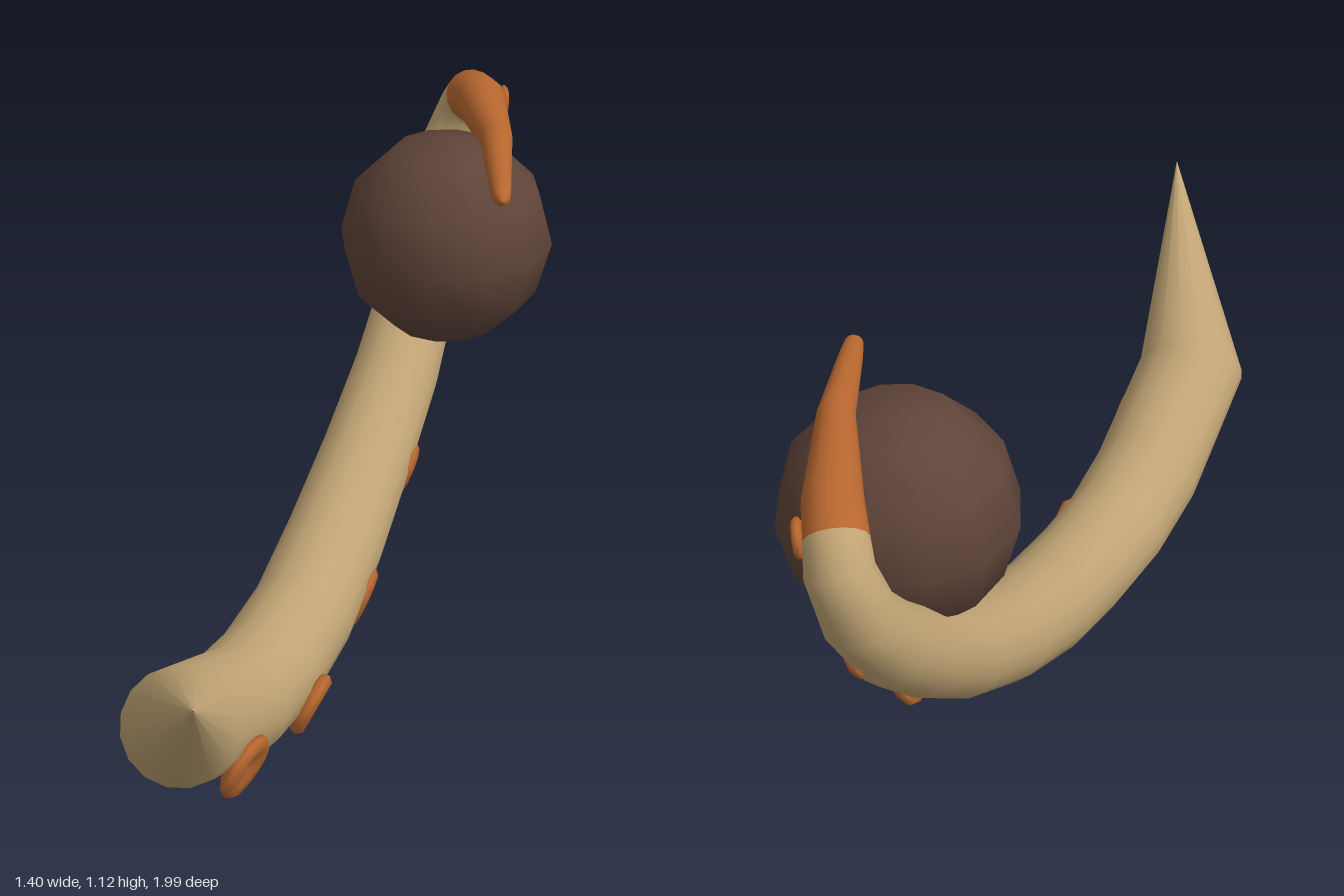
import * as THREE from 'three';

const SIDES = 16;

// Centre line and radius of each ring: [x, y, z, r]
const ARM = [
  [-0.68, 0.64, 0.99, 0.001],
  [-0.59, 0.295, 0.55, 0.132],
  [-0.4, 0.165, 0.315, 0.13],
  [-0.27, 0.137, 0.16, 0.127],
  [-0.135, 0.158, 0.0, 0.124],
  [0.01, 0.225, -0.19, 0.121],
  [0.16, 0.328, -0.385, 0.114],
  [0.3, 0.455, -0.56, 0.108],
  [0.41, 0.595, -0.705, 0.1],
  [0.505, 0.74, -0.835, 0.09],
  [0.58, 0.89, -0.92, 0.079],
  [0.612, 0.995, -0.9, 0.072],
  [0.608, 1.04, -0.86, 0.067],
  [0.595, 1.062, -0.77, 0.063],
  [0.53, 1.075, -0.5, 0.04],
  [0.45, 1.055, -0.27, 0.026],
  [0.433, 1.051, -0.22, 0.021],
  [0.428, 1.05, -0.205, 0.012],
  [0.426, 1.05, -0.2, 0.001],
];
const TIP_START = 12;

// Rings swept along the centre line, the frame carried from ring to ring
function loft(sections) {
  const p = sections.map(([x, y, z]) => new THREE.Vector3(x, y, z));
  const pos = [], idx = [];
  const u = new THREE.Vector3(0.79, 0, 0.61);
  const last = p.length - 1;
  p.forEach((c, i) => {
    const a = c.clone().sub(p[Math.max(i - 1, 0)]).normalize();
    const b = p[Math.min(i + 1, last)].clone().sub(c).normalize();
    const t = a.add(b).normalize();
    u.addScaledVector(t, -u.dot(t)).normalize();
    const v = t.clone().cross(u);
    for (let j = 0; j < SIDES; j++) {
      const ang = (j / SIDES) * Math.PI * 2, r = sections[i][3];
      const q = c.clone().addScaledVector(u, r * Math.cos(ang)).addScaledVector(v, r * Math.sin(ang));
      pos.push(q.x, q.y, q.z);
      if (i < last) {
        const k = (j + 1) % SIDES, n = i * SIDES, m = n + SIDES;
        idx.push(n + j, n + k, m + j, n + k, m + k, m + j);
      }
    }
  });
  const g = new THREE.BufferGeometry();
  g.setAttribute('position', new THREE.Float32BufferAttribute(pos, 3));
  g.setIndex(idx);
  g.computeVertexNormals();
  return g;
}

// Part of a loft between two faces rows, keeping the shared smooth normals
function slice(g, from, to) {
  const s = g.clone();
  s.setIndex(Array.from(g.index.array).slice(from * SIDES * 6, to * SIDES * 6));
  return s;
}

// Suckers: [x, y, z, radius, normal x, y, z]
const SUCKERS = [
  [-0.45, 0.16, 0.55, 0.08, 0.62, -0.35, 0.7],
  [-0.2, 0.075, 0.25, 0.08, 0.72, -0.42, 0.55],
  [0.03, 0.13, -0.07, 0.08, 0.8, -0.4, 0.42],
  [0.245, 0.28, -0.37, 0.08, 0.83, -0.42, 0.36],
  [0.435, 0.49, -0.64, 0.075, 0.85, -0.42, 0.3],
  [0.58, 0.76, -0.86, 0.06, 0.88, -0.35, 0.25],
  [0.675, 1.03, -0.82, 0.042, 0.95, -0.1, 0.2],
];

export function createModel() {
  const model = new THREE.Group();
  const material = (name, color) => {
    const m = new THREE.MeshStandardMaterial({ color });
    m.name = name;
    return m;
  };
  const tan = material('tan', 0xc0a474);
  const orange = material('orange', 0xb8672f);
  const brown = material('brown', 0x5f4439);
  const add = (name, geometry, mat) => {
    const mesh = new THREE.Mesh(geometry, mat);
    mesh.name = name;
    model.add(mesh);
    return mesh;
  };

  // Curling arm and its coloured tip
  const sweep = loft(ARM);
  add('arm', slice(sweep, 0, TIP_START), tan);
  add('armTip', slice(sweep, TIP_START, ARM.length - 1), orange);

  // Ball held in the curl
  add('ball', new THREE.SphereGeometry(0.262, 12, 6), brown).position.set(0.412, 0.828, -0.52);

  // Dished suckers along the outer side
  const profile = [[0, -0.3], [0.7, -0.28], [0.97, -0.1], [1, 0.08], [0.85, 0.24], [0.55, 0.2], [0, 0.06]]
    .map(([x, y]) => new THREE.Vector2(x, y));
  const suckerShape = new THREE.LatheGeometry(profile, 12);
  const up = new THREE.Vector3(0, 1, 0);
  SUCKERS.forEach(([x, y, z, r, nx, ny, nz], i) => {
    const sucker = add('sucker' + (i + 1), suckerShape, orange);
    sucker.position.set(x, y, z);
    sucker.scale.setScalar(r);
    sucker.quaternion.setFromUnitVectors(up, new THREE.Vector3(nx, ny, nz).normalize());
  });

  return model;
}
